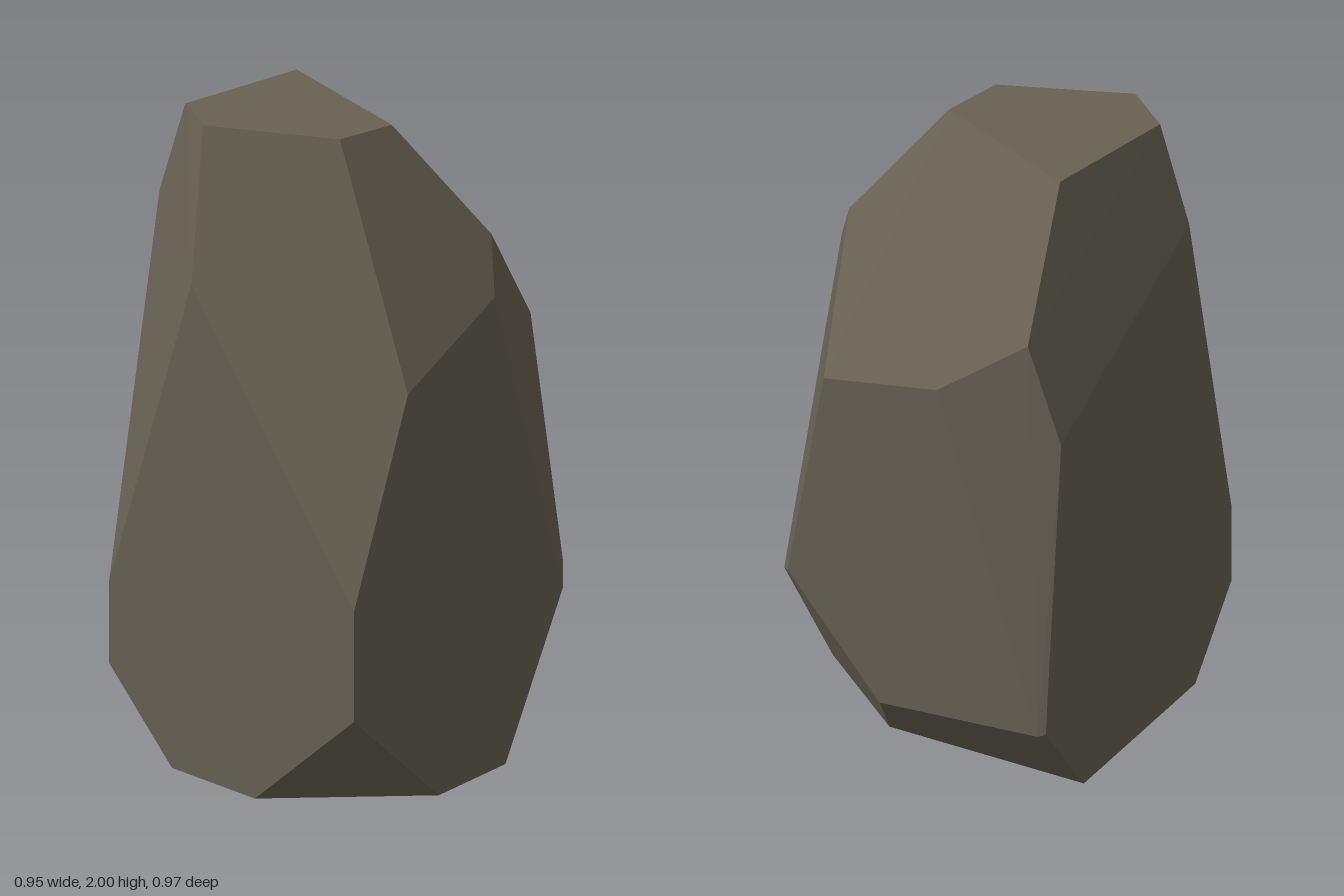
import * as THREE from 'three';
import { ConvexGeometry } from 'three/addons/geometries/ConvexGeometry.js';

// Faceted boulder: a convex stone described by its corners, level by level
const X = 0.473, Z = 0.485;

const crown = [ // flat top
  [-0.28, 2, -0.115], [0.18, 2, -0.01], [0.135, 2, 0.165],
  [-0.225, 2, 0.355], [-0.365, 2, 0.275],
];
const shoulder = [ // where the sloping top facets meet the sides
  [-X, 1.69, 0.265], [0.405, 1.66, -0.19], [-0.36, 1.615, -0.4],
  [-0.155, 1.56, Z], [X, 1.5, -0.128], [-0.1, 1.4, -Z],
  [X, 1.32, 0.25], [-X, 1.3, -0.395], [0.295, 1.275, -Z],
];
const waist = [ // lower ends of the long side facets
  [X, 0.71, Z], [-X, 0.52, Z], [0.42, 0.525, -Z], [X, 0.475, -0.425],
  [X, 0.36, Z], [-X, 0.3, -0.475], [-0.45, 0.29, -Z], [-X, 0.26, Z], [0.1, 0.18, -Z],
];
const foot = [ // flat underside
  [0.09, 0, Z], [-0.23, 0, Z], [-X, 0, 0.297], [-X, 0, -0.278],
  [0.145, 0, -0.368], [X, 0, -0.175], [X, 0, 0.115],
];

export function createModel() {
  const stone = new THREE.MeshStandardMaterial({ color: 0x686254 });
  stone.name = 'stone';
  stone.flatShading = true;

  const corners = [...crown, ...shoulder, ...waist, ...foot].map((p) => new THREE.Vector3(...p));
  const boulder = new THREE.Mesh(new ConvexGeometry(corners), stone);
  boulder.name = 'boulder';

  const group = new THREE.Group();
  group.name = 'rock';
  group.add(boulder);
  return group;
}
